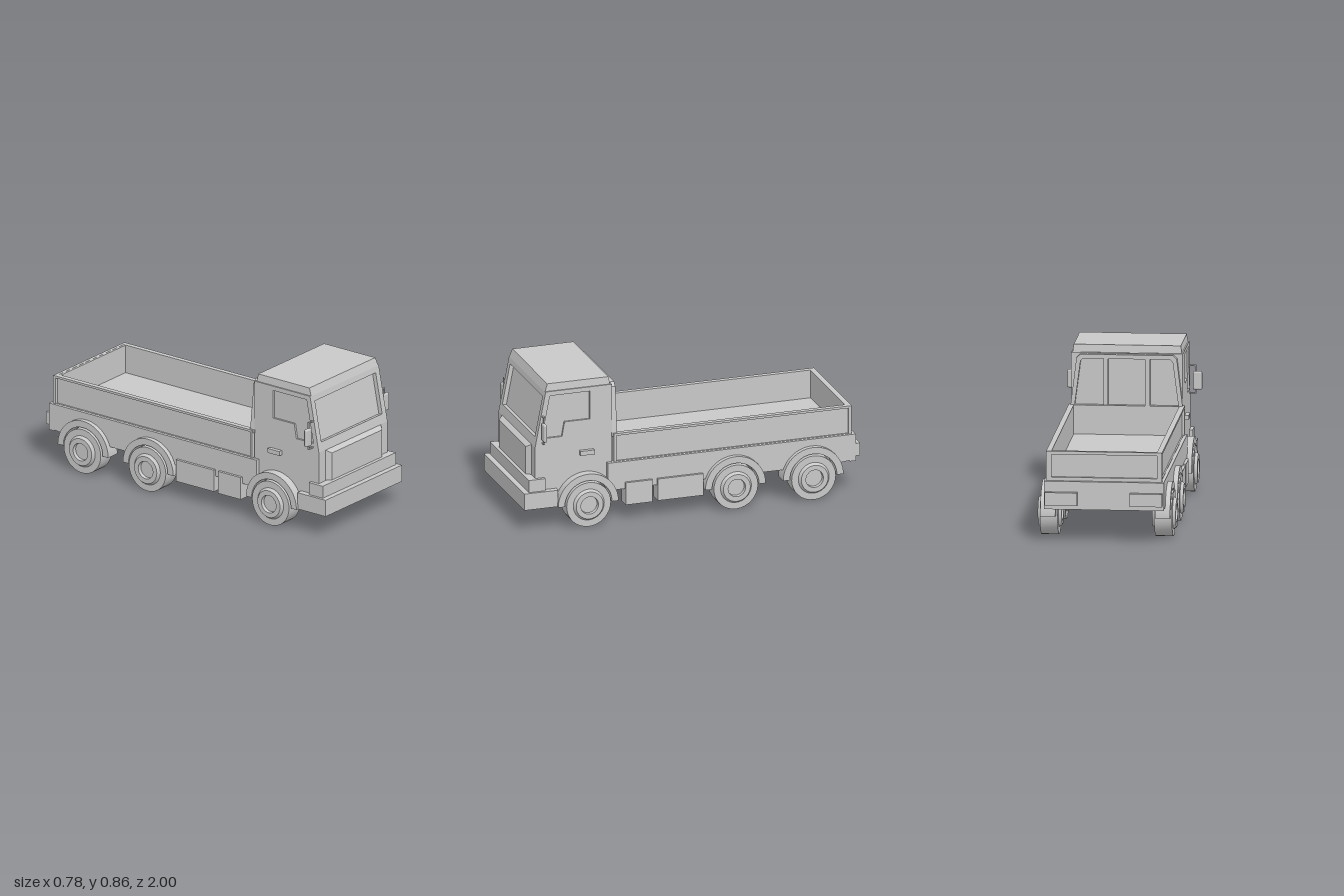
import * as THREE from 'three';
import { toCreasedNormals } from 'three/addons/utils/BufferGeometryUtils.js';
import { RoundedBoxGeometry } from 'three/addons/geometries/RoundedBoxGeometry.js';

const AXLES = [0.626, -0.248, -0.71];
const AXLE_Y = 0.131;

export function createModel() {
  const truck = new THREE.Group();
  truck.name = 'flatbedTruck';
  const grey = new THREE.MeshStandardMaterial({ color: 0xc8c8c8 });
  grey.name = 'plain grey';

  const add = (name, geometry) => {
    const mesh = new THREE.Mesh(geometry, grey);
    mesh.name = name;
    truck.add(mesh);
    return mesh;
  };
  // Box given by its limits on each axis
  const box = (name, x0, x1, y0, y1, z0, z1) => {
    const g = new THREE.BoxGeometry(x1 - x0, y1 - y0, z1 - z0);
    g.translate((x0 + x1) / 2, (y0 + y1) / 2, (z0 + z1) / 2);
    return add(name, g);
  };
  // The same box on both sides
  const boxPair = (name, x0, x1, ...yz) => {
    box(name + 'Left', x0, x1, ...yz);
    box(name + 'Right', -x1, -x0, ...yz);
  };
  const polygon = (points) => new THREE.Shape(points.map((p) => new THREE.Vector2(...p)));
  const extrude = (shape, depth) =>
    new THREE.ExtrudeGeometry(shape, { depth, bevelEnabled: false, curveSegments: 20 });
  // Plate drawn in (z, y), extruded inward from x = outer on both sides
  const sidePair = (name, shape, outer, depth) => {
    for (const [side, x] of [['Left', outer], ['Right', depth - outer]]) {
      const g = extrude(shape, depth);
      g.rotateY(-Math.PI / 2);
      g.translate(x, 0, 0);
      add(name + side, g);
    }
  };
  // Cut a wheel arch while drawing a bottom edge from back to front
  const arch = (shape, z, bottom) => {
    const a = Math.asin((bottom - AXLE_Y) / 0.15);
    shape.absarc(z, AXLE_Y, 0.15, Math.PI - a, a, true);
  };

  // Cab sides, with a recessed window
  const cabSide = new THREE.Shape();
  cabSide.moveTo(0.47, 0.19);
  arch(cabSide, AXLES[0], 0.19);
  for (const p of [[0.925, 0.19], [0.925, 0.487], [0.862, 0.812], [0.47, 0.812]]) cabSide.lineTo(...p);
  const windowPoints = [[0.85, 0.786], [0.6, 0.786], [0.6, 0.62], [0.75, 0.62], [0.765, 0.535], [0.892, 0.535]];
  cabSide.holes.push(polygon(windowPoints));
  sidePair('cabSide', cabSide, 0.315, 0.025);
  sidePair('sideWindow', polygon(windowPoints), 0.303, 0.008);
  boxPair('doorHandle', 0.31, 0.338, 0.414, 0.44, 0.578, 0.662);

  // Sloping windscreen panel
  const slope = Math.atan2(0.063, 0.325);
  const slant = 0.325 / Math.cos(slope);
  const rect = (x, y0, y1) => [[-x, y0], [x, y0], [x, y1], [-x, y1]];
  const screenHole = rect(0.279, 0.053, 0.294);
  const screen = polygon(rect(0.314, 0, slant));
  screen.holes.push(polygon(screenHole));
  for (const [name, shape, depth, back] of [
    ['windscreenFrame', screen, 0.03, 0.03],
    ['windscreen', polygon(screenHole), 0.006, 0.03],
  ]) {
    const g = extrude(shape, depth);
    g.translate(0, 0, -back);
    g.rotateX(-slope);
    g.translate(0, 0.487, 0.925);
    add(name, g);
  }
  box('cabNose', -0.314, 0.314, 0.19, 0.487, 0.905, 0.925);

  // Raised nose panel with bevelled top and sides
  const panel = new THREE.BoxGeometry(0.51, 0.182, 0.03);
  const pp = panel.attributes.position;
  for (let i = 0; i < pp.count; i++) {
    if (pp.getZ(i) < 0) continue;
    pp.setX(i, Math.sign(pp.getX(i)) * 0.231);
    if (pp.getY(i) > 0) pp.setY(i, 0.071);
  }
  panel.computeVertexNormals();
  panel.translate(0, 0.396, 0.937);
  add('nosePanel', panel);

  // Roof cap, slightly narrower at the top
  const roof = new THREE.BoxGeometry(0.63, 0.045, 0.39);
  const rp = roof.attributes.position;
  for (let i = 0; i < rp.count; i++) {
    const top = rp.getY(i) > 0;
    rp.setX(i, Math.sign(rp.getX(i)) * (top ? 0.302 : 0.308));
    rp.setZ(i, rp.getZ(i) > 0 ? (top ? 0.848 : 0.864) : (top ? 0.485 : 0.478));
  }
  roof.computeVertexNormals();
  roof.translate(0, 0.8325, 0);
  add('roof', roof);
  box('roofBase', -0.314, 0.314, 0.795, 0.812, 0.47, 0.862);

  // Cab back wall with a tapering three-part window frame
  box('cabBack', -0.314, 0.314, 0.3, 0.812, 0.468, 0.485);
  const backFrame = polygon([[-0.318, 0.5], [0.318, 0.5], [0.283, 0.785], [0.262, 0.807], [-0.262, 0.807], [-0.283, 0.785]]);
  backFrame.holes.push(polygon([[-0.293, 0.515], [0.293, 0.515], [0.26, 0.768], [0.245, 0.783], [-0.245, 0.783], [-0.26, 0.768]]));
  add('cabBackFrame', extrude(backFrame, 0.032).translate(0, 0, 0.438));
  boxPair('backWindowBar', 0.105, 0.131, 0.5, 0.784, 0.438, 0.47);

  // Front bumper
  box('bumper', -0.351, 0.351, 0.132, 0.23, 0.88, 1);
  boxPair('bumperEnd', 0.29, 0.351, 0.132, 0.23, 0.8, 0.88);
  box('bumperStep', -0.335, 0.335, 0.23, 0.302, 0.9, 0.968);
  boxPair('bumperStepEnd', 0.3, 0.335, 0.23, 0.302, 0.87, 0.9);

  // Mirrors on brackets, the right one set slightly further out
  for (const [s, x] of [[1, 0.349], [-1, 0.36]]) {
    const mirror = new RoundedBoxGeometry(0.053, 0.105, 0.022, 3, 0.01);
    mirror.translate(s * x, 0.583, 0.882);
    add('mirror', mirror);
    const strut = (w, h, cx, y) =>
      add('mirrorBracket', new THREE.BoxGeometry(w, h, 0.01).translate(s * cx, y, 0.88));
    strut(0.007, 0.163, x - 0.009, 0.59);
    strut(0.05, 0.007, x - 0.031, 0.668);
    strut(0.05, 0.007, x - 0.031, 0.511);
  }

  // Chassis skirts with wheel arches, and rear beam
  const skirt = new THREE.Shape();
  skirt.moveTo(-0.955, 0.187);
  for (const z of [AXLES[2], AXLES[1]]) arch(skirt, z, 0.187);
  for (const p of [[0.47, 0.187], [0.5, 0.26], [0.5, 0.35], [-0.968, 0.35], [-0.968, 0.2]]) skirt.lineTo(...p);
  sidePair('skirt', skirt, 0.338, 0.035);
  box('rearBeam', -0.337, 0.337, 0.19, 0.35, -0.972, -0.935);
  boxPair('rearLight', 0.148, 0.33, 0.217, 0.29, -1, -0.97);
  boxPair('sideTank', 0.28, 0.354, 0.095, 0.227, 0.24, 0.4);
  boxPair('sideLocker', 0.28, 0.354, 0.098, 0.227, -0.06, 0.21);

  // Load bed: floor, walls and raised rims
  box('bedFloor', -0.32, 0.32, 0.32, 0.352, -0.94, 0.475);
  boxPair('bedWall', 0.297, 0.312, 0.35, 0.518, -0.94, 0.46);
  boxPair('bedTopRail', 0.31, 0.327, 0.505, 0.518, -0.948, 0.46);
  boxPair('bedRearPost', 0.31, 0.327, 0.35, 0.506, -0.948, -0.934);
  boxPair('bedFrontPost', 0.31, 0.327, 0.35, 0.506, 0.446, 0.46);
  box('bedFrontWall', -0.3, 0.3, 0.35, 0.518, 0.43, 0.46);
  box('tailgate', -0.3, 0.3, 0.35, 0.517, -0.935, -0.92);
  const tailFrame = polygon(rect(0.327, 0.35, 0.518));
  tailFrame.holes.push(polygon(rect(0.297, 0.37, 0.5)));
  add('tailgateFrame', extrude(tailFrame, 0.018).translate(0, 0, -0.951));

  // Mudguards and wheels, hubs dished on both faces
  const tyreProfile = [
    [0, 0.275], [0.05, 0.275], [0.052, 0.254], [0.075, 0.254], [0.09, 0.272], [0.131, 0.272],
    [0.131, 0.372], [0.092, 0.372], [0.08, 0.389], [0.052, 0.389], [0.05, 0.368], [0, 0.368],
  ].map((p) => new THREE.Vector2(...p));
  for (const z of AXLES) {
    const guard = new THREE.Shape();
    guard.absarc(z, AXLE_Y, 0.179, 0, Math.PI, false);
    guard.absarc(z, AXLE_Y, 0.14, Math.PI, 0, true);
    sidePair('mudguard', guard, 0.366, 0.085);
    for (const s of [1, -1]) {
      const wheel = toCreasedNormals(new THREE.LatheGeometry(tyreProfile, 32), 0.5);
      wheel.rotateZ(-s * Math.PI / 2);
      wheel.translate(0, AXLE_Y, z);
      add('wheel', wheel);
    }
  }
  return truck;
}
